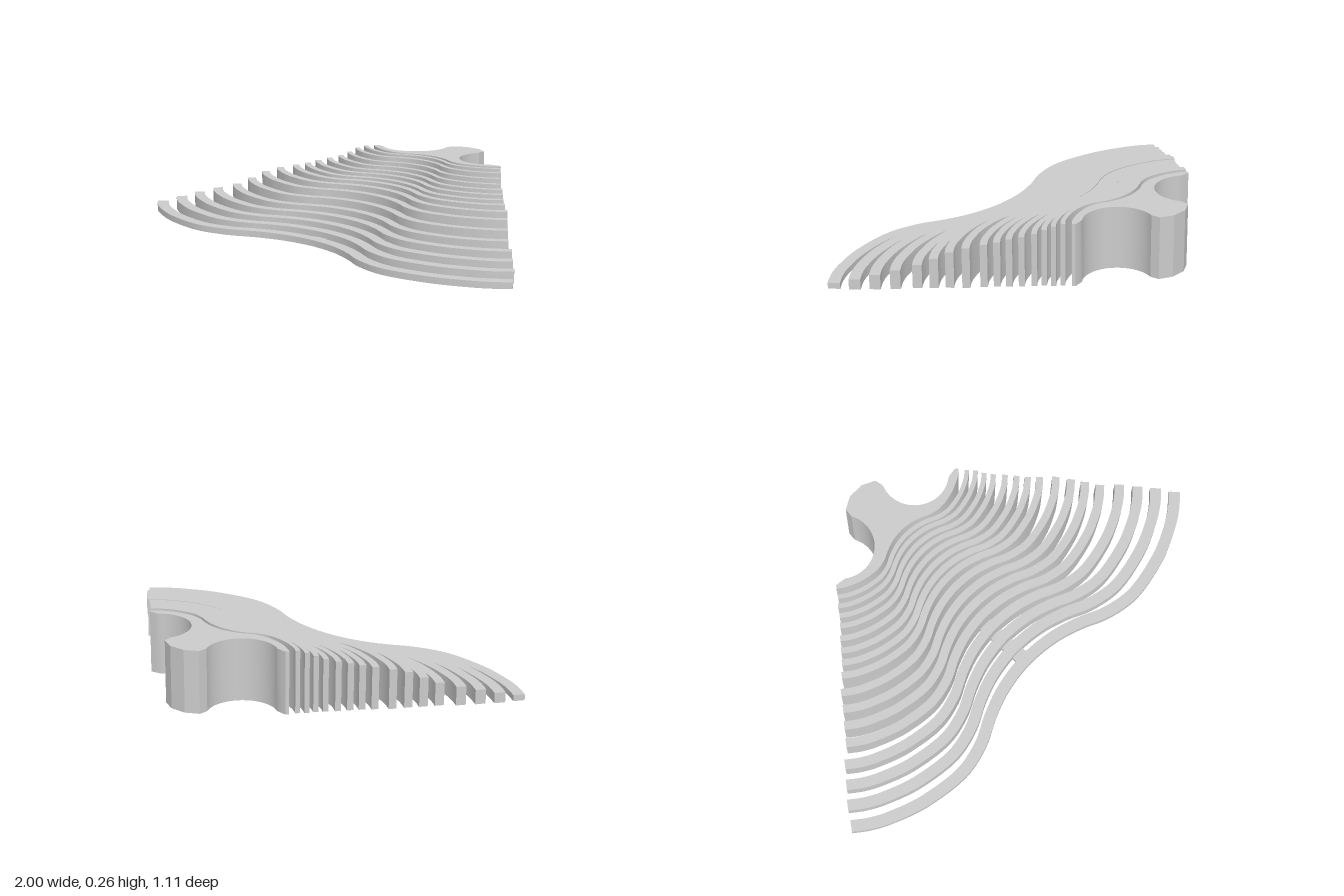
import * as THREE from 'three';
import { toCreasedNormals } from 'three/addons/utils/BufferGeometryUtils.js';

const material = new THREE.MeshStandardMaterial({ color: 0xcccccc });
const v = (x, z) => new THREE.Vector2(x, z);

// Front edge of half a rib at full size, centre to tip; z is measured back from the foremost point
const halfEdge = [
  [0, -0.133], [0.14, -0.118], [0.26, -0.08], [0.38, -0.026], [0.53, 0],
  [0.72, -0.031], [0.86, -0.085], [0.94, -0.13], [1, -0.178],
];
const mirrored = halfEdge.slice(1).reverse().map(([x, z]) => v(-x, z));
const edgeCurve = new THREE.SplineCurve([...mirrored, ...halfEdge.map(([x, z]) => v(x, z))]);
const STEPS = 80;
const THICKNESS = 0.048;

// Points of the front edge, moved back along the normal by offset
function edge(scale, frontZ, offset = 0) {
  const points = [];
  for (let i = 0; i <= STEPS; i++) {
    const p = edgeCurve.getPoint(i / STEPS);
    const t = edgeCurve.getTangent(i / STEPS);
    points.push(v((p.x + t.y * offset) * scale, (p.y - t.x * offset) * scale + frontZ));
  }
  return points;
}

// Raise a plan outline (x, z) to the given height
function slab(name, outline, height) {
  const shape = new THREE.Shape(outline.map((p) => v(p.x, -p.y)));
  const geometry = new THREE.ExtrudeGeometry(shape, { depth: height, bevelEnabled: false });
  geometry.rotateX(-Math.PI / 2);
  const mesh = new THREE.Mesh(toCreasedNormals(geometry, 0.45), material);
  mesh.name = name;
  return mesh;
}

// Ribs: half width, foremost z, height
const ribs = [
  [1, 0.555, 0.025], [0.951, 0.48, 0.043], [0.897, 0.412, 0.061], [0.843, 0.343, 0.079],
  [0.778, 0.275, 0.097], [0.735, 0.218, 0.123], [0.693, 0.165, 0.15], [0.652, 0.108, 0.167],
  [0.6, 0.052, 0.178], [0.562, 0.01, 0.187], [0.53, -0.031, 0.198], [0.497, -0.073, 0.208],
  [0.461, -0.114, 0.22], [0.434, -0.147, 0.235], [0.412, -0.18, 0.251], [0.385, -0.21, 0.261],
];

export function createModel() {
  const group = new THREE.Group();
  group.name = 'ribbedFan';

  // Stepped wavy ribs
  ribs.forEach(([width, frontZ, height], i) => {
    const outline = [...edge(width, frontZ), ...edge(width, frontZ, THICKNESS).reverse()];
    group.add(slab(`rib${i + 1}`, outline, height));
  });

  // Low spine joining the ribs
  const spine = new THREE.Mesh(new THREE.BoxGeometry(0.06, 0.02, 0.7), material);
  spine.name = 'spine';
  spine.position.set(0, 0.01, 0.045);
  group.add(spine);

  // Rear body: wavy front, two scooped sides and a small head
  const side = [v(0.35, -0.325), v(0.33, -0.323)];
  for (let i = 0; i <= 28; i++) {
    const a = THREE.MathUtils.degToRad(53 + (152 * i) / 28);
    side.push(v(0.22 + 0.14 * Math.cos(a), -0.43 + 0.14 * Math.sin(a)));
  }
  side.push(v(0.088, -0.527), v(0.034, -0.555));
  const otherSide = side.map((p) => v(-p.x, p.y)).reverse();
  group.add(slab('rearBody', [...edge(0.36, -0.25), ...side, ...otherSide], 0.262));

  return group;
}
